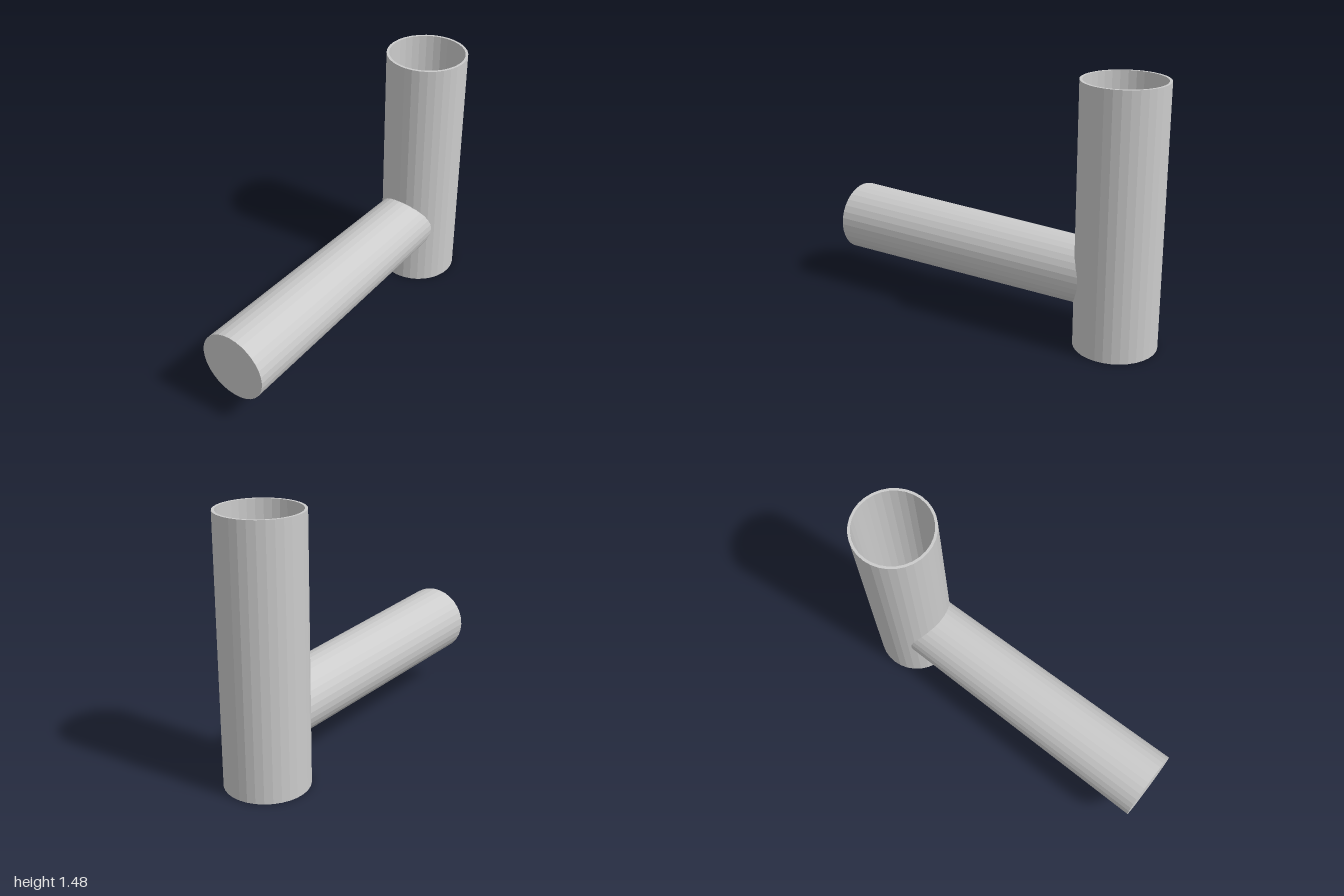
import * as THREE from 'three';

const SIDES = 32;

export function createModel() {
  const group = new THREE.Group();
  const material = new THREE.MeshStandardMaterial({ color: 0xcccccc, flatShading: true });

  // Upright hollow cup: closed base, thin wall, open top
  const radius = 0.2325, inner = 0.2175, height = 1.477, floor = 0.015;
  const profile = [
    [0, 0], [radius, 0], [radius, height], [inner, height], [inner, floor], [0, floor],
  ].map(([r, y]) => new THREE.Vector2(r, y));
  const cup = new THREE.Mesh(new THREE.LatheGeometry(profile, SIDES), material);
  cup.name = 'cup';
  cup.position.x = 1 - radius;
  group.add(cup);

  // Tapered side handle, running through the cup wall and ending inside it
  const start = -1, end = 0.69;
  const handleGeometry = new THREE.CylinderGeometry(0.202, 0.181, end - start, SIDES);
  handleGeometry.rotateZ(Math.PI / 2);
  const handle = new THREE.Mesh(handleGeometry, material);
  handle.name = 'handle';
  handle.position.set((start + end) / 2, 0.389, 0);
  group.add(handle);

  return group;
}
